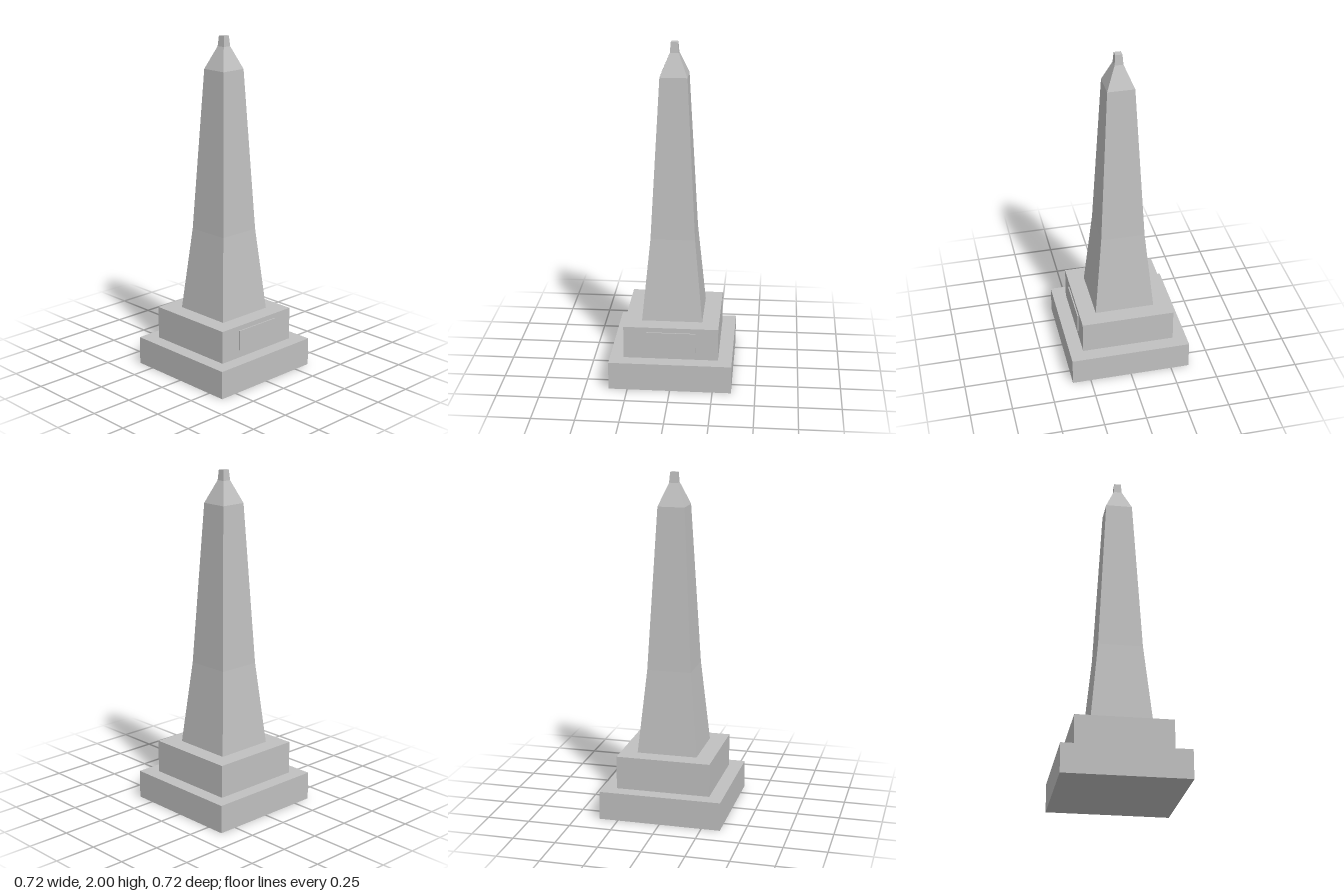
import * as THREE from 'three';

const stone = new THREE.MeshStandardMaterial({ color: 0xc0c0c0, flatShading: true });
stone.name = 'grey stone';

function block(name, width, depth, y0, y1, z = 0) {
  const mesh = new THREE.Mesh(new THREE.BoxGeometry(width, y1 - y0, depth), stone);
  mesh.name = name;
  mesh.position.set(0, (y0 + y1) / 2, z);
  return mesh;
}

// Square tapered section, given half widths at its bottom and top
function taper(name, y0, half0, y1, half1, open = true) {
  const geometry = new THREE.CylinderGeometry(
    half1 * Math.SQRT2, half0 * Math.SQRT2, y1 - y0, 4, 1, open);
  geometry.rotateY(Math.PI / 4);
  const mesh = new THREE.Mesh(geometry, stone);
  mesh.name = name;
  mesh.position.y = (y0 + y1) / 2;
  return mesh;
}

export function createModel() {
  const model = new THREE.Group();
  model.name = 'obelisk';

  // Stepped plinth with a raised front plaque
  model.add(block('basePlinth', 0.72, 0.72, 0, 0.168));
  model.add(block('upperPlinth', 0.556, 0.556, 0.168, 0.364));
  model.add(block('plaque', 0.29, 0.009, 0.214, 0.335, 0.2805));

  // Shaft in two slopes, then the cap and its blunt tip
  model.add(taper('lowerShaft', 0.364, 0.178, 0.86, 0.13));
  model.add(taper('upperShaft', 0.86, 0.13, 1.81, 0.079));
  model.add(taper('cap', 1.81, 0.079, 1.94, 0.025));
  model.add(taper('tip', 1.94, 0.025, 2, 0.02, false));

  return model;
}
